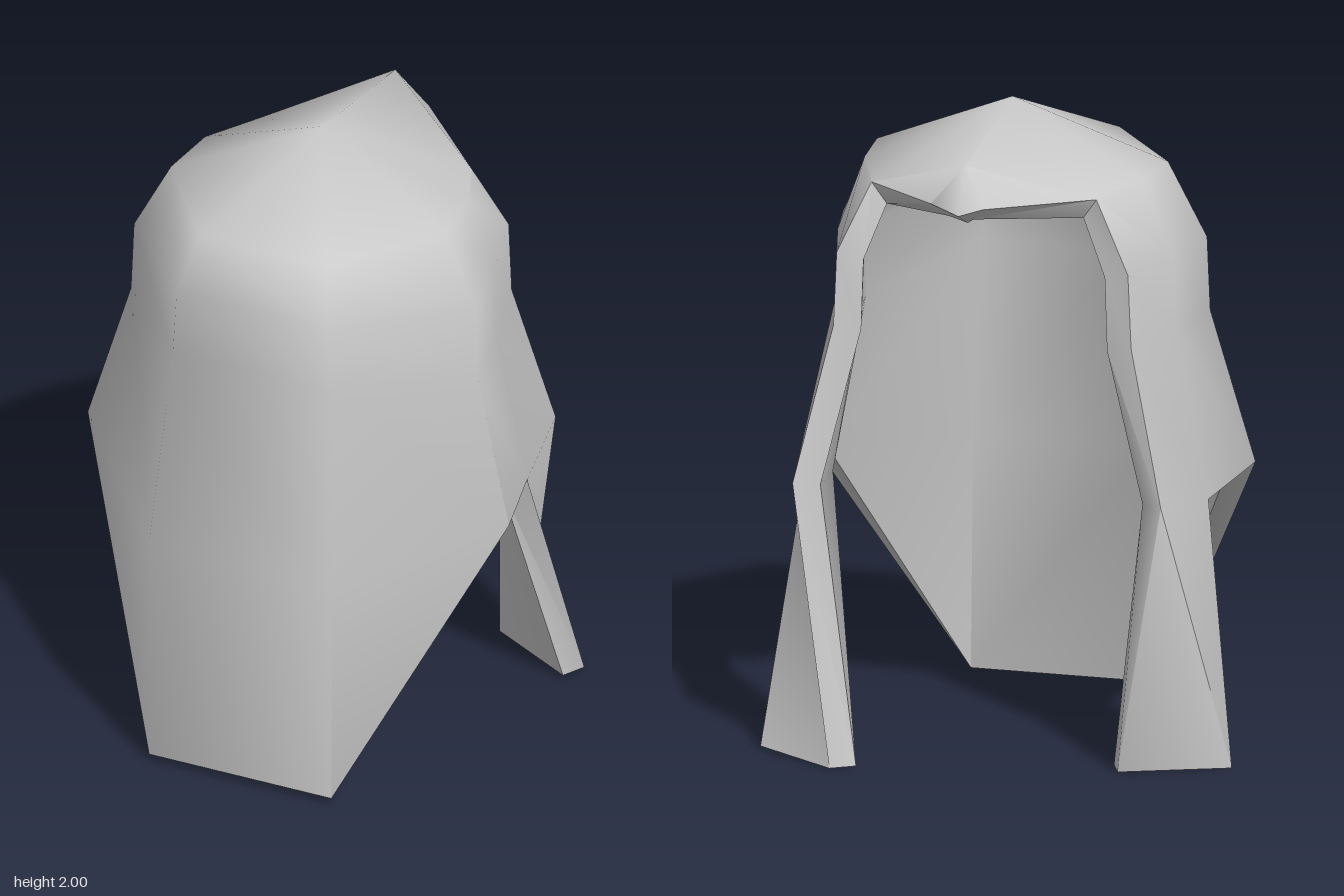
import * as THREE from 'three';
import { toCreasedNormals } from 'three/addons/utils/BufferGeometryUtils.js';

const THICKNESS = 0.085;

// Gives an open sheet thickness: inner copy offset along the normals, rim stitched on open edges
function thicken(points, faces) {
  const sheet = new THREE.BufferGeometry();
  sheet.setAttribute('position', new THREE.Float32BufferAttribute(points.flat(), 3));
  sheet.setIndex(faces.flat());
  sheet.computeVertexNormals();
  const normal = sheet.attributes.normal;
  const count = points.length;
  const inner = points.map(([x, y, z], i) => [
    x - normal.getX(i) * THICKNESS,
    y < 0.1 ? y : y - normal.getY(i) * THICKNESS, // hems stay level
    z - normal.getZ(i) * THICKNESS,
  ]);

  const edges = new Set();
  for (const f of faces) f.forEach((a, k) => edges.add(a + '_' + f[(k + 1) % 3]));
  const index = [...faces, ...faces.map(([a, b, c]) => [a + count, c + count, b + count])];
  for (const f of faces) {
    f.forEach((a, k) => {
      const b = f[(k + 1) % 3];
      if (!edges.has(b + '_' + a)) index.push([b, a, a + count], [b, a + count, b + count]);
    });
  }

  const solid = new THREE.BufferGeometry();
  solid.setAttribute('position', new THREE.Float32BufferAttribute([...points, ...inner].flat(), 3));
  solid.setIndex(index.flat());
  return toCreasedNormals(solid, 1.2);
}

export function createModel() {
  const group = new THREE.Group();
  group.name = 'hair';

  // Rings from the crown down; each runs back, side and front on -x, then front, side and back on +x
  const rings = [
    [[-0.31, 1.78, -0.30], [-0.40, 1.80, -0.10], [-0.42, 1.80, 0.10], [-0.17, 1.80, 0.43],
      [0.25, 1.80, 0.43], [0.50, 1.80, 0.10], [0.48, 1.80, -0.10], [0.40, 1.78, -0.30]],
    [[-0.43, 1.57, -0.37], [-0.50, 1.57, -0.12], [-0.54, 1.57, 0.11], [-0.21, 1.63, 0.51],
      [0.30, 1.63, 0.51], [0.61, 1.56, 0.11], [0.56, 1.57, -0.12], [0.49, 1.57, -0.37]],
    [[-0.44, 1.34, -0.37], [-0.51, 1.34, -0.12], [-0.55, 1.34, 0.11], [-0.22, 1.42, 0.515],
      [0.31, 1.42, 0.515], [0.61, 1.32, 0.11], [0.57, 1.34, -0.12], [0.50, 1.34, -0.37]],
    [[-0.56, 0.87, -0.46], [-0.62, 0.82, -0.15], [-0.69, 0.87, 0.12], [-0.26, 0.78, 0.60],
      [0.35, 0.78, 0.60], [0.72, 0.83, 0.12], [0.65, 0.82, -0.16], [0.60, 0.86, -0.47]],
  ];
  const points = rings.flat();
  const faces = [];
  const add = (x, y, z) => points.push([x, y, z]) - 1;
  const quad = (a, b, c, d) => faces.push([a, b, c], [a, c, d]);

  // Body of the shell
  for (let r = 0; r < 3; r++) {
    for (let i = 0; i < 7; i++) {
      const a = r * 8 + i;
      quad(a, a + 8, a + 9, a + 1);
    }
  }

  // Crown
  const apex = add(0.04, 2, -0.01);
  for (let i = 0; i < 7; i++) faces.push([apex, i, i + 1]);

  // Overhanging tuft
  const ridge = add(0.04, 1.92, -0.52);
  const tuft = [7, add(0.14, 1.80, -0.55), add(0.04, 1.78, -0.595), add(-0.03, 1.80, -0.57), 0];
  faces.push([apex, 7, ridge], [apex, ridge, 0]);
  for (let i = 0; i < 4; i++) faces.push([ridge, tuft[i], tuft[i + 1]]);

  // Broad tapering panel
  const low = 24;
  const hemR = add(-0.26, 0.03, 0.60);
  const hemL = add(0.35, 0.03, 0.60);
  quad(low + 3, hemR, hemL, low + 4);
  faces.push([low + 2, hemR, low + 3], [low + 4, hemL, low + 5]);

  // Two hanging side locks
  quad(low, add(-0.40, 0.005, -0.38), add(-0.72, 0.005, -0.24), low + 1);
  quad(low + 6, add(0.71, 0.015, -0.44), add(0.45, 0.005, -0.585), low + 7);

  const shell = new THREE.Mesh(
    thicken(points, faces),
    new THREE.MeshStandardMaterial({ color: 0xcccccc }),
  );
  shell.name = 'hairShell';
  group.add(shell);
  return group;
}
